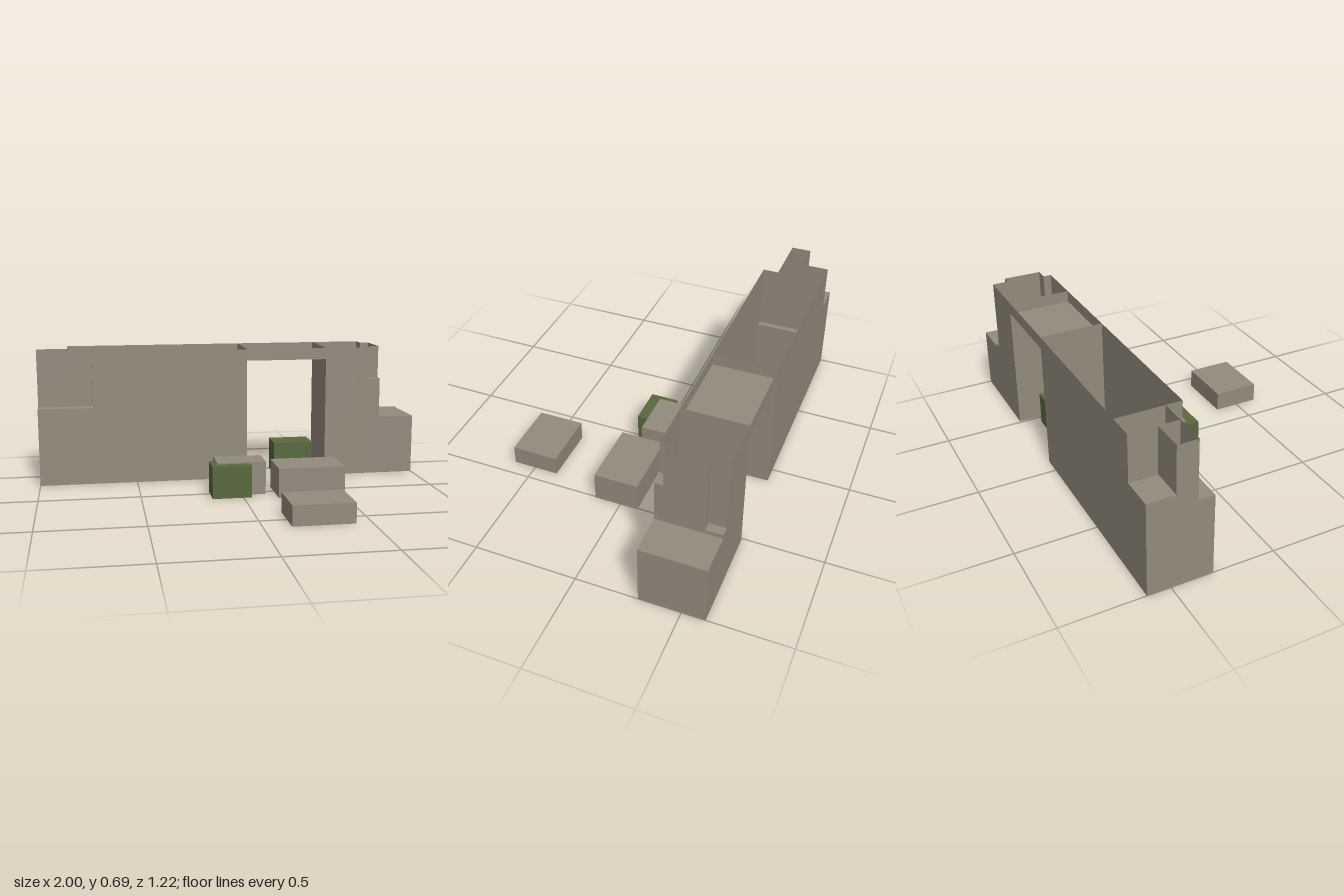
import * as THREE from 'three';

export function createModel() {
  const model = new THREE.Group();
  const stone = new THREE.MeshStandardMaterial({ color: 0x938b7c, side: THREE.DoubleSide });
  stone.name = 'stone';
  const moss = new THREE.MeshStandardMaterial({ color: 0x58683c, side: THREE.DoubleSide });
  moss.name = 'mossGreen';

  const part = (name) => {
    const g = new THREE.Group();
    g.name = name;
    model.add(g);
    return g;
  };
  const sheet = (group, name, w, h) => {
    const m = new THREE.Mesh(new THREE.PlaneGeometry(w, h), stone);
    m.name = name;
    group.add(m);
    return m;
  };
  // Sheets facing along z, along x and upwards
  const zWall = (g, x0, x1, y0, y1, z) => {
    const m = sheet(g, 'wallFace', x1 - x0, y1 - y0);
    m.position.set((x0 + x1) / 2, (y0 + y1) / 2, z);
    if (z < -0.6) m.rotation.y = Math.PI;
  };
  const xWall = (g, x, y0, y1, z0, z1) => {
    const m = sheet(g, 'crossWall', z1 - z0, y1 - y0);
    m.position.set(x, (y0 + y1) / 2, (z0 + z1) / 2);
    m.rotation.y = Math.PI / 2;
  };
  const cap = (g, x0, x1, y, z0, z1) => {
    const m = sheet(g, 'ledge', x1 - x0, z1 - z0);
    m.position.set((x0 + x1) / 2, y, (z0 + z1) / 2);
    m.rotation.x = -Math.PI / 2;
  };

  const B = -0.61, F = -0.3, H = 0.69; // wall back, front and height

  // Long wall, hollow and open at top and bottom
  const main = part('longWall');
  zWall(main, -0.72, 0.085, 0, H, F);
  zWall(main, -0.845, 0.085, 0, H, B);
  xWall(main, -0.72, 0.4, H, B, F);
  xWall(main, 0.085, 0, H, B, F);

  // Broken end on the right, stepped at front and back
  const end = part('brokenRightEnd');
  zWall(end, -1, -0.72, 0, 0.4, F);
  zWall(end, -1, -0.845, 0, 0.46, B);
  xWall(end, -1, 0, 0.4, B, F);
  xWall(end, -1, 0.4, 0.46, B, -0.378);
  xWall(end, -0.69, 0, 0.365, B, F);
  xWall(end, -0.72, 0.365, 0.4, B, F);
  cap(end, -1, -0.69, 0.365, B, F);
  cap(end, -1, -0.72, 0.4, B, F);
  cap(end, -1, -0.845, 0.46, B, -0.378);
  xWall(end, -1, 0.46, H, -0.477, -0.378);
  zWall(end, -1, -0.72, 0.4, H, -0.378);
  zWall(end, -1, -0.845, 0.46, H, -0.477);
  xWall(end, -0.845, 0.4, H, B, -0.378);

  // Lintel over the doorway
  const lintel = part('lintel');
  for (const z of [F, B]) zWall(lintel, 0.085, 0.51, 0.63, H, z);
  cap(lintel, 0.085, 0.51, 0.63, B, F);

  // Pillar left of the doorway, notched at two corners
  const pillar = part('doorPillar');
  xWall(pillar, 0.51, 0, H, B, F);
  zWall(pillar, 0.51, 0.745, 0, H, F);
  zWall(pillar, 0.745, 0.81, 0, 0.52, F);
  zWall(pillar, 0.51, 0.765, 0, H, B);
  zWall(pillar, 0.765, 0.81, 0, 0.33, B);
  xWall(pillar, 0.745, 0, 0.52, B, F);
  xWall(pillar, 0.745, 0.52, H, -0.34, F);
  zWall(pillar, 0.745, 0.81, 0.52, H, -0.34);
  xWall(pillar, 0.81, 0.31, 0.52, -0.34, F);
  xWall(pillar, 0.81, 0.31, H, -0.53, -0.34);
  xWall(pillar, 0.81, 0.31, 0.33, B, -0.53);
  zWall(pillar, 0.765, 0.81, 0.33, H, -0.53);
  xWall(pillar, 0.765, 0, H, B, -0.53);
  cap(pillar, 0.745, 0.81, 0.52, -0.53, F);
  cap(pillar, 0.745, 0.765, 0.52, B, -0.53);
  cap(pillar, 0.765, 0.81, 0.33, B, -0.53);

  // Low block at the left end
  const low = part('lowEndBlock');
  for (const z of [F, B]) zWall(low, 0.81, 1, 0, 0.31, z);
  xWall(low, 1, 0, 0.31, B, F);
  cap(low, 0.765, 1, 0.31, B, F);

  // Fallen blocks, open underneath
  const block = (name, mat, x0, x1, h, z0, z1) => {
    const geo = new THREE.BoxGeometry(x1 - x0, h, z1 - z0);
    const idx = Array.from(geo.index.array);
    idx.splice(18, 6);
    geo.setIndex(idx);
    geo.clearGroups();
    const m = new THREE.Mesh(geo, mat);
    m.name = name;
    m.position.set((x0 + x1) / 2, h / 2, (z0 + z1) / 2);
    model.add(m);
  };
  block('fallenBlockMiddle', stone, -0.125, 0.12, 0.167, -0.1, 0.045);
  block('fallenBlockLarge', stone, 0.17, 0.505, 0.147, -0.09, 0.13);
  block('fallenBlockFront', stone, 0.13, 0.425, 0.097, 0.38, 0.61);
  block('mossBlockFront', moss, -0.155, 0.04, 0.16, -0.04, 0.1);
  block('mossBlockDoorway', moss, 0.245, 0.455, 0.17, -0.51, -0.365);

  return model;
}
